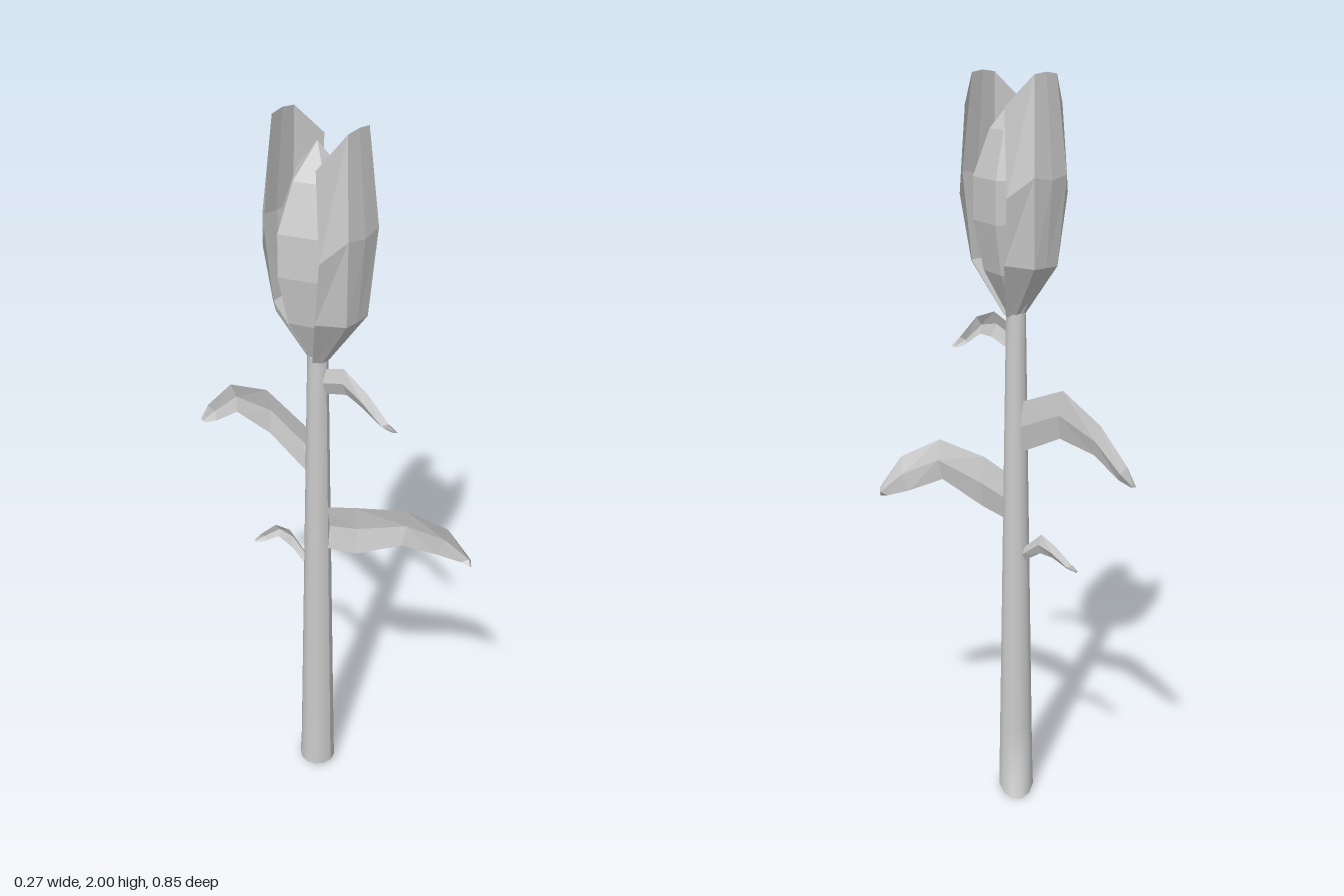
import * as THREE from 'three';

const faceted = new THREE.MeshStandardMaterial({ color: 0xcccccc, flatShading: true, side: THREE.DoubleSide });
const smooth = new THREE.MeshStandardMaterial({ color: 0xcccccc });

// Open surface through rows of [x, y, z] points
function sheet(rows) {
  const n = rows[0].length;
  const index = [];
  for (let r = 0; r < rows.length - 1; r++) {
    for (let c = 0; c < n - 1; c++) {
      const a = r * n + c, b = a + n;
      index.push(a, a + 1, b + 1, a, b + 1, b);
    }
  }
  const geo = new THREE.BufferGeometry();
  geo.setAttribute('position', new THREE.Float32BufferAttribute(rows.flat(2), 3));
  geo.setIndex(index);
  geo.computeVertexNormals();
  return geo;
}

// Tapered stem with a slanted, flared cut at the foot
function makeStem() {
  const height = 1.39;
  const geo = new THREE.CylinderGeometry(0.027, 0.05, height, 12, 14);
  geo.translate(0, height / 2, 0);
  const p = geo.attributes.position;
  for (let i = 0; i < p.count; i++) {
    const x = p.getX(i), y = p.getY(i), z = p.getZ(i);
    if (y < 0.01) {
      const r = Math.hypot(x, z);
      const t = r > 0 ? Math.max(0, (x - z) / (r * Math.SQRT2)) : 1;
      p.setXYZ(i, x + 0.025 * t, r > 0 ? 0.02 * (1 - t) : 0.005, z - 0.03 * t);
    }
  }
  geo.translate(-0.021, 0, 0.024);
  geo.computeVertexNormals();
  return new THREE.Mesh(geo, smooth);
}

// Five-sided closed bud
function makeBud() {
  const profile = [[0.02, 1.38], [0.085, 1.5], [0.113, 1.63], [0.112, 1.74], [0.068, 1.86], [0, 1.945]];
  const geo = new THREE.LatheGeometry(profile.map(([r, y]) => new THREE.Vector2(r, y)), 5, Math.PI);
  const bud = new THREE.Mesh(geo, faceted);
  bud.position.set(-0.02, 0, 0.022);
  return bud;
}

// Cupped petal; each row: rim [x, y, z], inner [x, y, z], middle [y, z]
function makePetal() {
  const rows = [
    [[0.03, 1.38, 0.0], [0.015, 1.38, 0.02], [1.38, 0.022]],
    [[0.095, 1.53, 0.06], [0.042, 1.52, 0.115], [1.52, 0.117]],
    [[0.11, 1.7, 0.085], [0.058, 1.75, 0.13], [1.74, 0.135]],
    [[0.103, 1.92, 0.07], [0.04, 1.995, 0.11], [2.0, 0.112]],
  ].map(([rim, inner, mid]) => [
    [-rim[0], rim[1], rim[2]],
    [-inner[0], inner[1], inner[2]],
    [0, ...mid],
    inner,
    rim,
  ]);
  const petal = new THREE.Mesh(sheet(rows), faceted);
  petal.position.set(-0.02, 0, 0.03);
  return petal;
}

// Upright drooping leaf; each station: [x, upper z, upper y, lower z, lower y]
function makeLeaf(stations, fold) {
  const last = stations.length - 1;
  const rows = stations.map(([x, zu, yu, zl, yl], i) => [
    [x, yu, zu],
    [x + (i === last ? 0 : fold), (yu + yl) / 2, (zu + zl) / 2],
    [x, yl, zl],
  ]);
  return new THREE.Mesh(sheet(rows), faceted);
}

export function createModel() {
  const flower = new THREE.Group();
  flower.name = 'flower';
  const add = (name, mesh) => {
    mesh.name = name;
    flower.add(mesh);
    return mesh;
  };

  add('stem', makeStem());
  add('bud', makeBud());
  add('frontPetal', makePetal());
  add('backPetal', makePetal()).rotation.y = Math.PI;

  add('lowerFrontLeaf', makeLeaf([
    [-0.025, 0.03, 0.93, 0.03, 0.8],
    [-0.015, 0.14, 0.97, 0.15, 0.825],
    [0.025, 0.28, 1.0, 0.27, 0.885],
    [0.09, 0.37, 0.945, 0.34, 0.85],
    [0.125, 0.425, 0.85, 0.395, 0.83],
    [0.128, 0.425, 0.828, 0.42, 0.825],
  ], 0.012));
  add('upperBackLeaf', makeLeaf([
    [-0.02, 0.01, 1.15, 0.01, 1.01],
    [-0.008, -0.16, 1.215, -0.15, 1.085],
    [0.025, -0.32, 1.16, -0.3, 1.08],
    [0.015, -0.4, 1.07, -0.37, 1.03],
    [0.005, -0.422, 1.02, -0.405, 1.015],
  ], 0.01));
  add('upperFrontLeaf', makeLeaf([
    [-0.02, 0.03, 1.35, 0.03, 1.28],
    [-0.025, 0.11, 1.38, 0.12, 1.31],
    [-0.045, 0.2, 1.35, 0.185, 1.305],
    [-0.038, 0.26, 1.285, 0.235, 1.27],
    [-0.025, 0.28, 1.26, 0.262, 1.255],
  ], -0.012));
  add('lowerBackLeaf', makeLeaf([
    [-0.02, -0.01, 0.745, -0.01, 0.705],
    [-0.015, -0.08, 0.8, -0.075, 0.745],
    [-0.005, -0.14, 0.785, -0.13, 0.75],
    [-0.022, -0.185, 0.74, -0.168, 0.725],
    [-0.032, -0.198, 0.722, -0.192, 0.717],
  ], 0.01));

  return flower;
}
